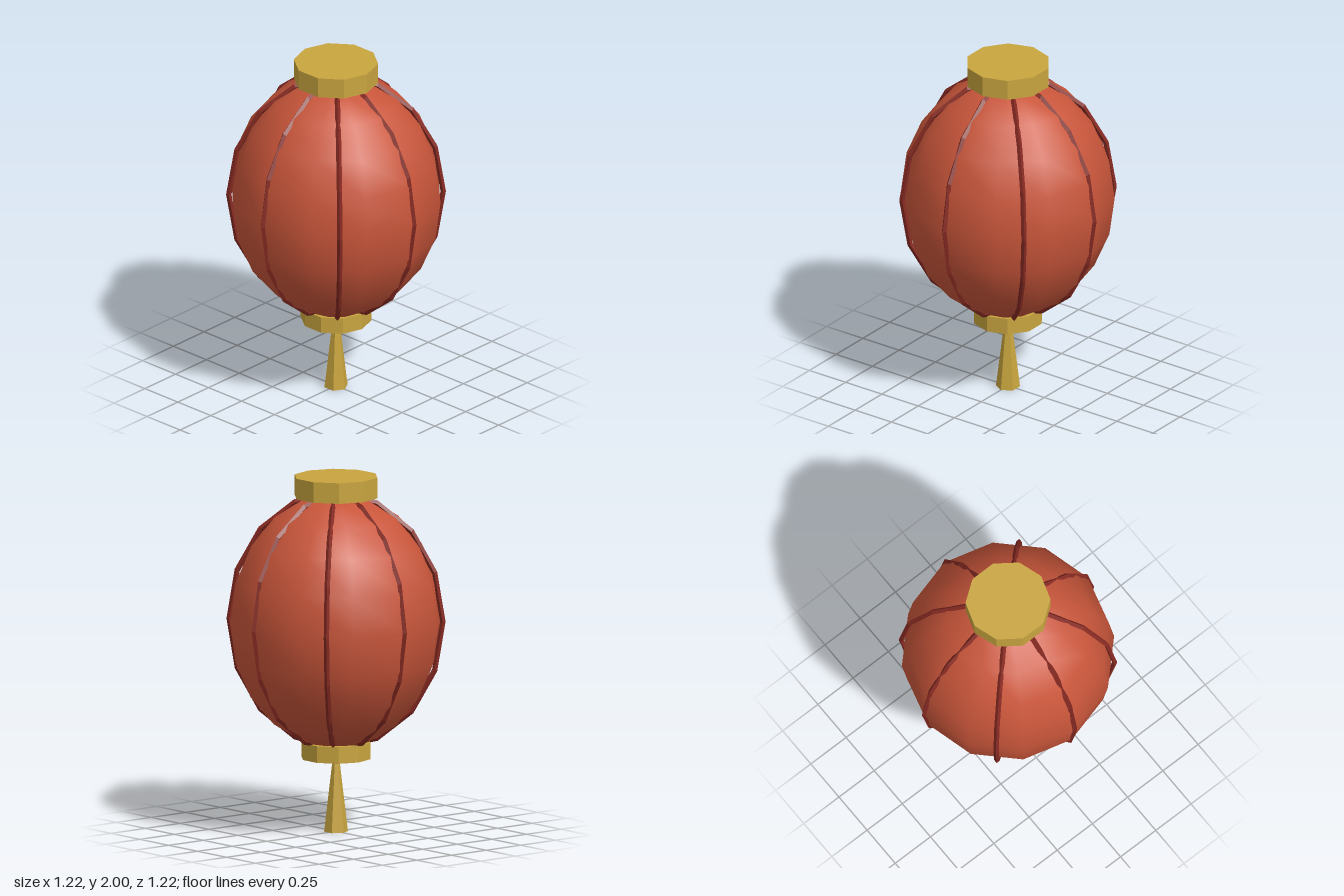
import * as THREE from 'three';

const CENTER_Y = 1.19, STRETCH = 1.2, RADIUS = 0.595;

export function createModel() {
  const group = new THREE.Group();
  const paper = new THREE.MeshStandardMaterial({ color: 0xc8553a });
  paper.name = 'red paper';
  const wood = new THREE.MeshStandardMaterial({ color: 0x862a22 });
  wood.name = 'dark red ribs';
  const gold = new THREE.MeshStandardMaterial({ color: 0xc9a53f });
  gold.name = 'gold';

  const add = (name, geometry, material, y) => {
    const mesh = new THREE.Mesh(geometry, material);
    mesh.name = name;
    mesh.position.y = y;
    group.add(mesh);
    return mesh;
  };
  // Flat-faced geometry with sharp edges
  const faceted = (geometry) => {
    const g = geometry.toNonIndexed();
    g.computeVertexNormals();
    return g;
  };

  // Paper shade: a tall, smooth-shaded sphere
  add('shade', new THREE.SphereGeometry(RADIUS, 12, 10).scale(1, STRETCH, 1), paper, CENTER_Y);

  // Four full hoops make the eight ribs
  const hoop = faceted(new THREE.TorusGeometry(RADIUS, 0.015, 4, 16).scale(1, STRETCH, 1));
  for (let i = 0; i < 4; i++) {
    add(`ribHoop${i + 1}`, hoop, wood, CENTER_Y).rotation.y = (i * Math.PI) / 4;
  }

  // Ten-sided caps and a six-sided tassel
  add('topCap', faceted(new THREE.CylinderGeometry(0.236, 0.236, 0.116, 10)), gold, 1.942);
  add('bottomCap', faceted(new THREE.CylinderGeometry(0.197, 0.197, 0.094, 10)), gold, 0.461);
  add('tassel', faceted(new THREE.CylinderGeometry(0.02, 0.067, 0.4, 6)), gold, 0.2);

  return group;
}
